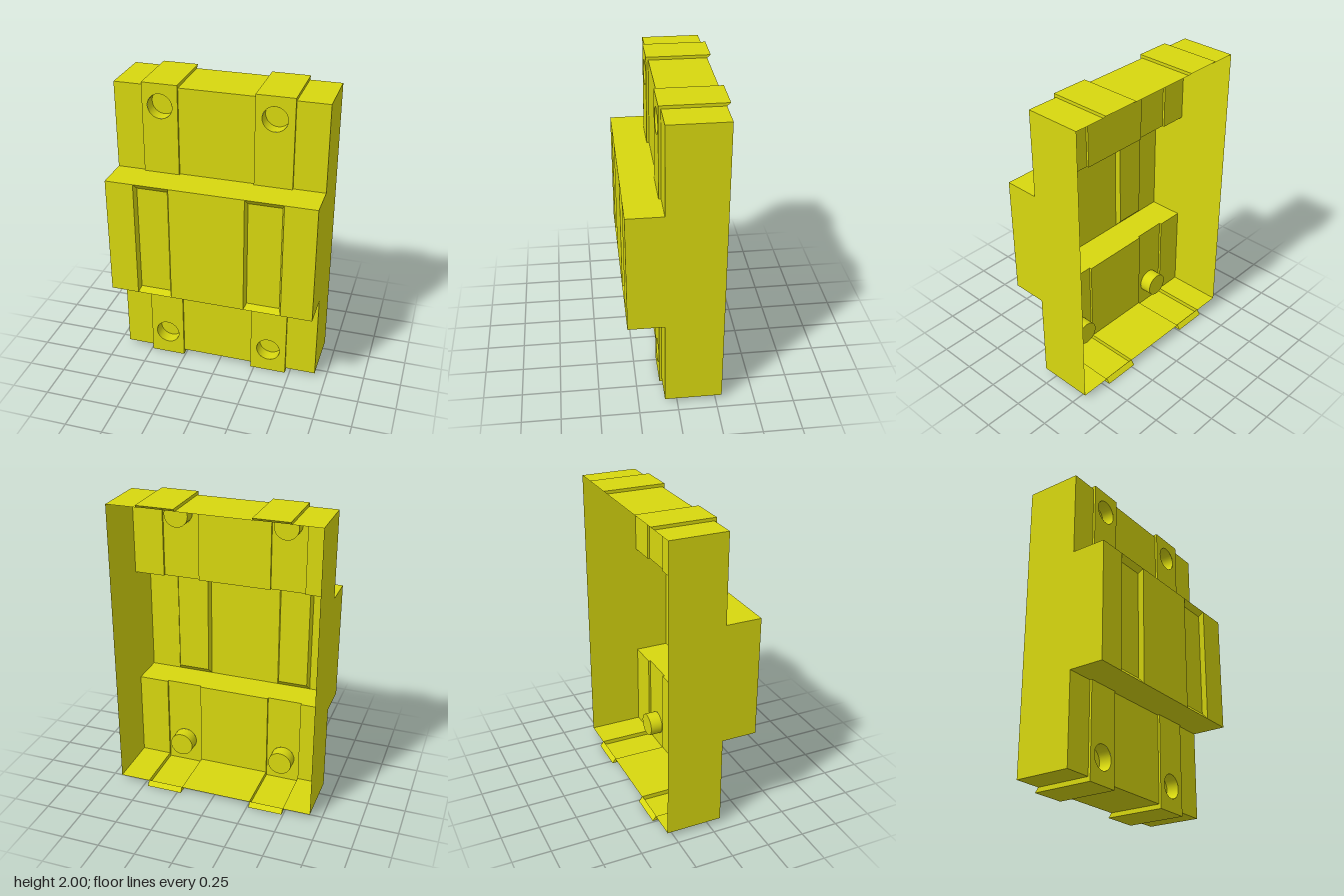
import * as THREE from 'three';

const material = new THREE.MeshStandardMaterial({ color: 0xd8d80f, side: THREE.DoubleSide });
const HALF_W = 0.675;
const BANDS = [[-0.49, -0.26], [0.225, 0.47]];   // x ranges of the raised bands
const BAND_Z = 0.095, HOLE_R = 0.08, HOLE_FLOOR = 0.01;

// Cross-sections as [z, y, inward x shift], from the bottom back edge round to the top back edge
const PLAIN = [
  [-0.29, 0.03], [-0.29, 0.03], [0.08, 0.03], [0.08, 0.62], [0.31, 0.62], [0.31, 0.655],
  [0.31, 1.375], [0.31, 1.41], [0.08, 1.41], [0.08, 1.98], [-0.29, 1.98], [-0.29, 1.98],
];
const BAND = [
  [-0.285, 0.03], [-0.312, 0], [BAND_Z, 0], [BAND_Z, 0.62], [0.31, 0.62], [0.28, 0.655, 0.015],
  [0.28, 1.375, 0.015], [0.31, 1.41], [BAND_Z, 1.41], [BAND_Z, 2], [-0.312, 2], [-0.285, 1.98],
];
const PANEL_ROWS = [2, 8];   // band rows replaced by panels with holes

function section(profile, x, dir = 0) {
  return profile.map(([z, y, shift = 0]) => new THREE.Vector3(x + dir * shift, y, z));
}

// Lofts flat quads between consecutive sections
function loft(sections, skip) {
  const pos = [];
  const tri = (a, b, c) => {
    if (new THREE.Triangle(a, b, c).getArea() > 1e-7) for (const p of [a, b, c]) pos.push(p.x, p.y, p.z);
  };
  for (let i = 0; i < sections.length - 1; i++) {
    const a = sections[i], b = sections[i + 1];
    for (let j = 0; j < a.length - 1; j++) {
      if (skip(i, j)) continue;
      tri(a[j], b[j], b[j + 1]);
      tri(a[j], b[j + 1], a[j + 1]);
    }
  }
  const geo = new THREE.BufferGeometry();
  geo.setAttribute('position', new THREE.Float32BufferAttribute(pos, 3));
  geo.computeVertexNormals();
  return geo;
}

function add(parent, name, geo) {
  const mesh = new THREE.Mesh(geo, material);
  mesh.name = name;
  parent.add(mesh);
  return mesh;
}

// Front panel of a band with a blind round hole
function addPanel(parent, [x0, x1], y0, y1, cy) {
  const cx = (x0 + x1) / 2;
  const shape = new THREE.Shape([[x0, y0], [x1, y0], [x1, y1], [x0, y1]].map(p => new THREE.Vector2(...p)));
  shape.holes.push(new THREE.Path().absarc(cx, cy, HOLE_R, 0, Math.PI * 2, true));
  add(parent, 'bandPanel', new THREE.ShapeGeometry(shape, 32)).position.z = BAND_Z;

  const depth = BAND_Z - HOLE_FLOOR;
  const wall = new THREE.CylinderGeometry(HOLE_R, HOLE_R, depth, 32, 1, true).rotateX(Math.PI / 2);
  add(parent, 'holeWall', wall).position.set(cx, cy, BAND_Z - depth / 2);
  add(parent, 'holeFloor', new THREE.CircleGeometry(HOLE_R, 32)).position.set(cx, cy, HOLE_FLOOR);
}

export function createModel() {
  const group = new THREE.Group();
  group.name = 'openBackedCover';

  // Stepped shell with raised bands and bevelled grooves
  const sections = [section(PLAIN, -HALF_W)];
  for (const [x0, x1] of BANDS) {
    sections.push(section(PLAIN, x0), section(BAND, x0, 1), section(BAND, x1, -1), section(PLAIN, x1));
  }
  sections.push(section(PLAIN, HALF_W));
  add(group, 'shell', loft(sections, (i, j) => i % 4 === 2 && PANEL_ROWS.includes(j)));

  // Side walls
  const sideShape = new THREE.Shape(PLAIN.slice(1, -1).map(([z, y]) => new THREE.Vector2(-z, y)));
  for (const side of [1, -1]) {
    const geo = new THREE.ShapeGeometry(sideShape).rotateY(Math.PI / 2);
    if (side < 0) geo.setIndex([...geo.index.array].reverse());
    geo.computeVertexNormals();
    add(group, side > 0 ? 'leftWall' : 'rightWall', geo).position.x = side * HALF_W;
  }

  // Band panels above and below the central block
  for (const band of BANDS) {
    addPanel(group, band, 0, 0.62, 0.17);
    addPanel(group, band, 1.41, 2, 1.855);
  }
  return group;
}
